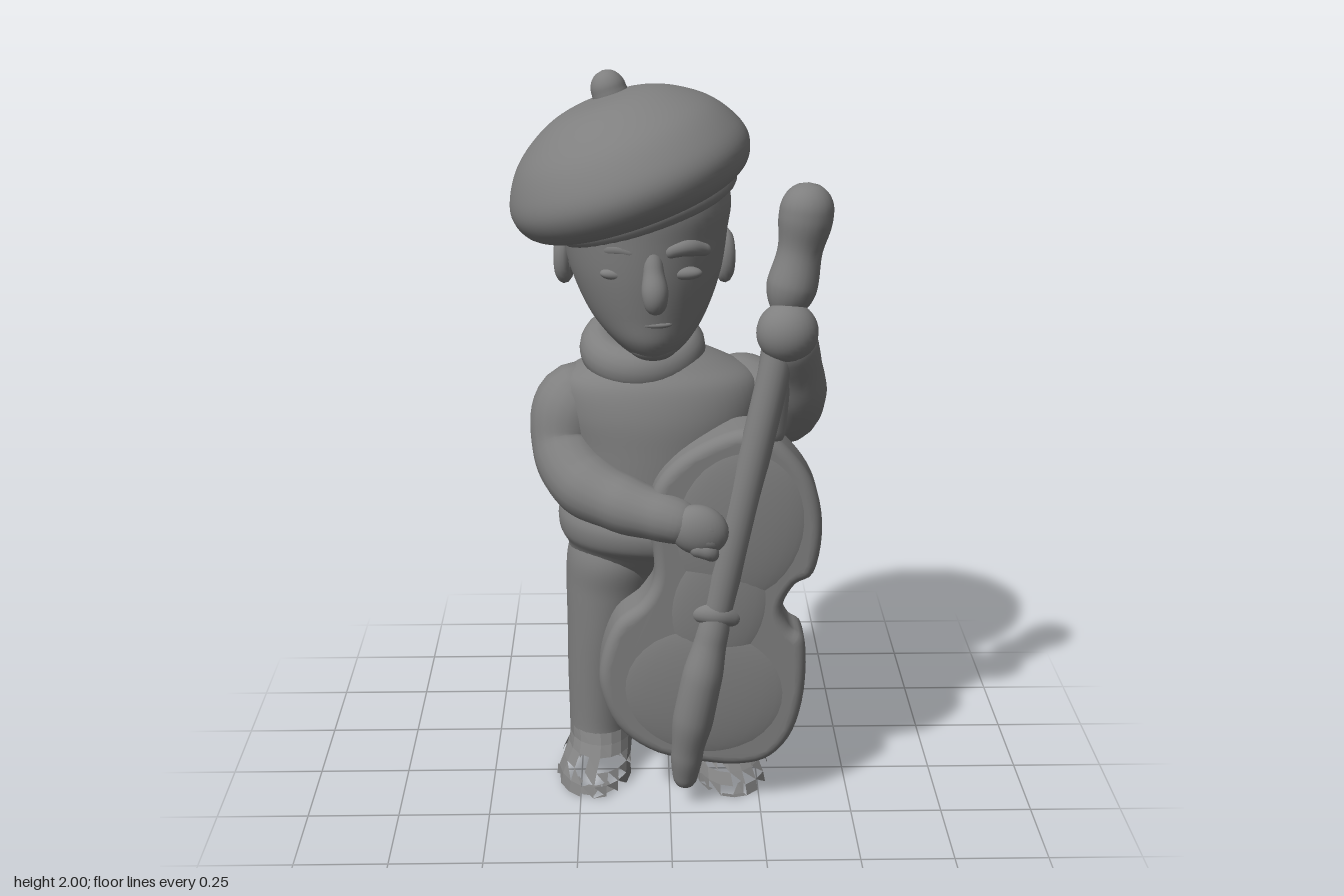
import * as THREE from 'three';
import { mergeVertices } from 'three/addons/utils/BufferGeometryUtils.js';
import { ParametricGeometry } from 'three/addons/geometries/ParametricGeometry.js';

const V = (p) => new THREE.Vector3(...p);

export function createModel() {
  const model = new THREE.Group();
  model.name = 'celloPlayer';
  const grey = new THREE.MeshStandardMaterial({ color: 0x7f7f7f, side: THREE.DoubleSide });
  grey.name = 'stone grey';

  const add = (name, geometry, parent = model) => {
    const mesh = new THREE.Mesh(geometry, grey);
    mesh.name = name;
    parent.add(mesh);
    return mesh;
  };

  const smooth = (geometry) => {
    geometry.deleteAttribute('uv');
    geometry.deleteAttribute('normal');
    const merged = mergeVertices(geometry, 1e-5);
    merged.computeVertexNormals();
    return merged;
  };

  // Smooth body through elliptical rings [y, centreX, centreZ, radiusX, radiusZ], bottom to top
  const loft = (rings, slices = 40, stacks = 48) => {
    const mid = new THREE.CatmullRomCurve3(rings.map(([y, x, z]) => V([x, y, z])), false, 'catmullrom');
    const rad = new THREE.CatmullRomCurve3(rings.map((r) => V([r[3], r[4], 0])), false, 'catmullrom');
    return smooth(new ParametricGeometry((u, v, out) => {
      const a = (u === 1 ? 0 : u) * Math.PI * 2, c = mid.getPoint(v), r = rad.getPoint(v);
      out.set(c.x + Math.sin(a) * Math.max(r.x, 0.001), c.y, c.z + Math.cos(a) * Math.max(r.y, 0.001));
    }, slices, stacks));
  };

  // Round-ended tube whose thickness follows a list of radii
  const limb = (points, radii, steps = 48) => {
    const curve = new THREE.CatmullRomCurve3(points.map(V));
    const geo = new THREE.TubeGeometry(curve, steps, 1, 20);
    const pos = geo.attributes.position, p = new THREE.Vector3(), length = curve.getLength();
    for (let i = 0; i < pos.count; i++) {
      const t = Math.floor(i / 21) / steps, k = t * (radii.length - 1);
      const j = Math.min(Math.floor(k), radii.length - 2);
      const r = THREE.MathUtils.lerp(radii[j], radii[j + 1], THREE.MathUtils.smoothstep(k - j, 0, 1));
      const e = Math.max(0, 1 - Math.min(t, 1 - t) * length / r);
      const c = curve.getPointAt(t);
      p.fromBufferAttribute(pos, i).sub(c).multiplyScalar(r * Math.sqrt(Math.max(1 - e * e, 1e-5))).add(c);
      pos.setXYZ(i, p.x, p.y, p.z);
    }
    return smooth(geo);
  };

  const ball = (name, at, scale, parent = model) => {
    const mesh = add(name, new THREE.SphereGeometry(1, 28, 20), parent);
    mesh.position.set(...at);
    mesh.scale.set(...scale);
    return mesh;
  };

  // Sweater with thick hem
  add('sweater', loft([
    [0.56, -0.02, -0.06, 0.002, 0.002], [0.58, -0.02, -0.06, 0.17, 0.1], [0.66, -0.02, -0.06, 0.245, 0.165],
    [0.71, -0.02, -0.055, 0.262, 0.2], [0.745, -0.02, -0.055, 0.28, 0.228], [0.79, -0.02, -0.055, 0.285, 0.237],
    [0.835, -0.02, -0.055, 0.272, 0.222], [0.88, -0.02, -0.055, 0.255, 0.207], [1.0, -0.02, -0.055, 0.255, 0.206],
    [1.1, -0.02, -0.055, 0.275, 0.202], [1.18, -0.025, -0.055, 0.265, 0.18], [1.225, -0.03, -0.055, 0.2, 0.145],
    [1.265, -0.06, -0.055, 0.125, 0.105], [1.3, -0.07, -0.055, 0.002, 0.002]], 48, 70));

  // Rolled collar, higher at the back
  const collar = add('collar', new THREE.TorusGeometry(0.113, 0.057, 18, 40));
  collar.position.set(-0.07, 1.26, -0.055);
  collar.rotation.x = Math.PI / 2 + 0.3;
  collar.scale.set(1, 1, 1.1);

  // Trousers and broken shoes
  let seed = 7;
  const rnd = () => (seed = (seed * 16807) % 2147483647) / 2147483647;
  for (const [side, x, out] of [['right', -0.195, -1], ['left', 0.16, 1]]) {
    add(side + 'TrouserLeg', loft([
      [0.11, x, -0.068, 0.09, 0.11], [0.16, x, -0.068, 0.09, 0.11], [0.3, x * 0.97, -0.066, 0.098, 0.122],
      [0.45, x * 0.88, -0.062, 0.115, 0.14], [0.58, x * 0.78, -0.06, 0.135, 0.155], [0.68, x * 0.72, -0.06, 0.14, 0.17],
      [0.78, x * 0.7, -0.06, 0.11, 0.14]]));
    const shell = loft([
      [0.012, x + out * 0.015, 0.0, 0.055, 0.11], [0.005, x + out * 0.02, 0.0, 0.105, 0.175],
      [0.05, x + out * 0.015, -0.01, 0.1, 0.16], [0.09, x, -0.05, 0.09, 0.125], [0.14, x, -0.068, 0.09, 0.11]], 18, 7)
      .toNonIndexed();
    const src = shell.attributes.position, kept = [];
    for (let i = 0; i < src.count; i += 3) {
      const y = (src.getY(i) + src.getY(i + 1) + src.getY(i + 2)) / 3;
      if (rnd() > 0.35 + y * 6) continue;
      for (let j = i; j < i + 3; j++) kept.push(src.getX(j), Math.max(0, src.getY(j)), src.getZ(j));
    }
    const shards = new THREE.BufferGeometry();
    shards.setAttribute('position', new THREE.Float32BufferAttribute(kept, 3));
    shards.computeVertexNormals();
    add(side + 'BrokenShoe', shards);
  }

  // Arms: one across the strings, one up to the neck of the cello
  add('rightArm', limb([[-0.17, 1.14, -0.06], [-0.25, 1.11, -0.05], [-0.275, 1.0, -0.01], [-0.235, 0.925, 0.07],
    [-0.12, 0.885, 0.16], [0.0, 0.865, 0.215], [0.08, 0.845, 0.235]], [0.1, 0.108, 0.096, 0.092, 0.08, 0.068, 0.055]));
  ball('rightHand', [0.075, 0.845, 0.245], [0.08, 0.068, 0.048]).rotation.z = -0.35;
  for (let i = 0; i < 3; i++) {
    const y = 0.87 - i * 0.032;
    add('rightFinger', limb([[0.05, y, 0.26], [0.1, y - 0.015, 0.265], [0.135 - i * 0.01, y - 0.04, 0.245]], [0.025, 0.024, 0.018], 16));
  }
  add('leftArm', limb([[0.1, 1.13, -0.11], [0.2, 1.12, -0.1], [0.295, 1.09, -0.02], [0.33, 1.15, 0.06],
    [0.325, 1.25, 0.125], [0.305, 1.36, 0.19], [0.298, 1.39, 0.2]], [0.095, 0.105, 0.095, 0.085, 0.074, 0.07]));
  ball('leftHand', [0.3, 1.37, 0.2], [0.08, 0.08, 0.073]);

  // Head
  const head = new THREE.Group();
  head.name = 'head';
  model.add(head);
  add('face', loft([
    [1.27, -0.043, 0.06, 0.002, 0.002], [1.285, -0.043, 0.055, 0.06, 0.095], [1.33, -0.048, 0.02, 0.115, 0.175],
    [1.4, -0.055, -0.005, 0.163, 0.215], [1.5, -0.06, -0.015, 0.2, 0.242], [1.6, -0.064, -0.015, 0.218, 0.25],
    [1.68, -0.066, -0.015, 0.228, 0.25], [1.76, -0.08, -0.01, 0.21, 0.22], [1.83, -0.1, -0.01, 0.12, 0.13],
    [1.85, -0.1, -0.01, 0.002, 0.002]], 48, 60), head);
  add('nose', limb([[-0.046, 1.6, 0.2], [-0.042, 1.53, 0.228], [-0.038, 1.465, 0.243], [-0.038, 1.435, 0.222]],
    [0.022, 0.026, 0.034, 0.026], 24), head);
  ball('upperLip', [-0.043, 1.39, 0.188], [0.05, 0.012, 0.022], head);
  ball('lowerLip', [-0.043, 1.366, 0.18], [0.04, 0.013, 0.022], head);
  ball('chin', [-0.043, 1.315, 0.125], [0.065, 0.04, 0.05], head);
  for (const [side, s] of [['right', -1], ['left', 1]]) {
    const fx = -0.048 + s * 0.085;
    ball(side + 'Eyelid', [fx, 1.525, 0.192], [0.045, 0.018, 0.022], head);
    add(side + 'Brow', limb([[-0.048 + s * 0.03, 1.582, 0.218], [fx, 1.592, 0.2], [-0.048 + s * 0.15, 1.575, 0.155]],
      [0.018, 0.022, 0.015], 20), head);
    const ex = s < 0 ? -0.275 : 0.147;
    const ear = add(side + 'Ear', new THREE.TorusGeometry(0.034, 0.021, 12, 28), head);
    ear.position.set(ex, 1.52, -0.02);
    ear.rotation.y = Math.PI / 2 + s * 0.3;
    ear.scale.set(0.8, 1.35, 1);
    ball(side + 'InnerEar', [ex - s * 0.012, 1.52, -0.025], [0.02, 0.058, 0.036], head);
  }

  // Tilted beret with stalk and an underside closing on the head
  const beret = new THREE.Group();
  beret.name = 'beret';
  beret.position.set(-0.107, 1.755, 0);
  beret.rotation.z = 0.335;
  model.add(beret);
  const rim = new THREE.SplineCurve([[0, -0.1], [0.16, -0.105], [0.225, -0.108], [0.275, -0.095], [0.31, -0.065],
    [0.325, -0.015], [0.308, 0.04], [0.26, 0.105], [0.18, 0.16], [0.1, 0.187], [0, 0.193]].map((p) => new THREE.Vector2(...p)));
  const crownPoints = rim.getPoints(50).map((p) => p.setX(Math.max(p.x, 0)));
  const crown = add('beretCrown', new THREE.LatheGeometry(crownPoints, 56), beret);
  crown.scale.z = 1.045;
  const band = add('beretBand', new THREE.TorusGeometry(0.215, 0.035, 14, 48), beret);
  band.position.set(0.015, -0.1, -0.012);
  band.rotation.x = Math.PI / 2;
  band.scale.y = 1.06;
  add('beretStalk', limb([[0.02, 0.15, -0.045], [0.02, 0.2, -0.048], [0.022, 0.252, -0.052]], [0.06, 0.046, 0.042], 20), beret);

  // Cello
  const cello = new THREE.Group();
  cello.name = 'cello';
  model.add(cello);
  const outline = new THREE.SplineCurve([[0.08, 0.135], [0.18, 0.125], [0.27, 0.145], [0.335, 0.22], [0.367, 0.35],
    [0.365, 0.5], [0.325, 0.54], [0.303, 0.6], [0.335, 0.665], [0.385, 0.7], [0.405, 0.82], [0.385, 0.94], [0.33, 1.03],
    [0.25, 1.1], [0.16, 1.1], [0.04, 1.04], [-0.035, 0.96], [-0.06, 0.86], [-0.045, 0.76], [-0.045, 0.68], [-0.08, 0.615],
    [-0.145, 0.56], [-0.185, 0.46], [-0.19, 0.36], [-0.14, 0.24], [-0.04, 0.165], [0.08, 0.135]].map((p) => new THREE.Vector2(...p)));
  const body = new THREE.ExtrudeGeometry(new THREE.Shape(outline.getPoints(110).slice(0, -1)), {
    depth: 0.09, bevelThickness: 0.033, bevelSize: 0.03, bevelOffset: -0.03, bevelSegments: 6, steps: 1 });
  body.translate(0, 0, 0.095);
  add('celloBody', smooth(body), cello);
  // Arched front and back plates
  for (const [face, z, depth] of [['front', 0.2, 0.036], ['back', 0.08, 0.05]]) {
    ball(face + 'LowerPlate', [0.092, 0.36, z], [0.25, 0.21, depth], cello).rotation.z = -0.18;
    ball(face + 'UpperPlate', [0.185, 0.84, z], [0.195, 0.24, depth], cello).rotation.z = -0.18;
    ball(face + 'WaistPlate', [0.13, 0.61, z], [0.15, 0.2, depth * 0.9], cello).rotation.z = -0.18;
  }
  // One raised line of tailpiece, bridge and fingerboard
  add('tailpiece', limb([[0.04, 0.055, 0.19], [0.05, 0.2, 0.215], [0.08, 0.38, 0.228], [0.11, 0.52, 0.22], [0.135, 0.64, 0.208]],
    [0.032, 0.045, 0.057, 0.056, 0.045, 0.038]), cello);
  add('bridge', limb([[0.055, 0.59, 0.205], [0.125, 0.595, 0.222], [0.19, 0.57, 0.205]], [0.025, 0.035, 0.025], 20), cello);
  add('fingerboard', limb([[0.12, 0.56, 0.21], [0.19, 0.9, 0.21], [0.275, 1.3, 0.2], [0.29, 1.4, 0.19]],
    [0.042, 0.044, 0.043, 0.042]), cello);
  add('celloNeck', limb([[0.25, 1.05, 0.165], [0.285, 1.35, 0.175], [0.3, 1.42, 0.175]], [0.05, 0.045, 0.045]), cello);
  add('pegbox', limb([[0.29, 1.4, 0.175], [0.318, 1.51, 0.165], [0.335, 1.6, 0.162], [0.345, 1.67, 0.162], [0.35, 1.75, 0.16]],
    [0.045, 0.066, 0.058, 0.07, 0.066]), cello);

  return model;
}
